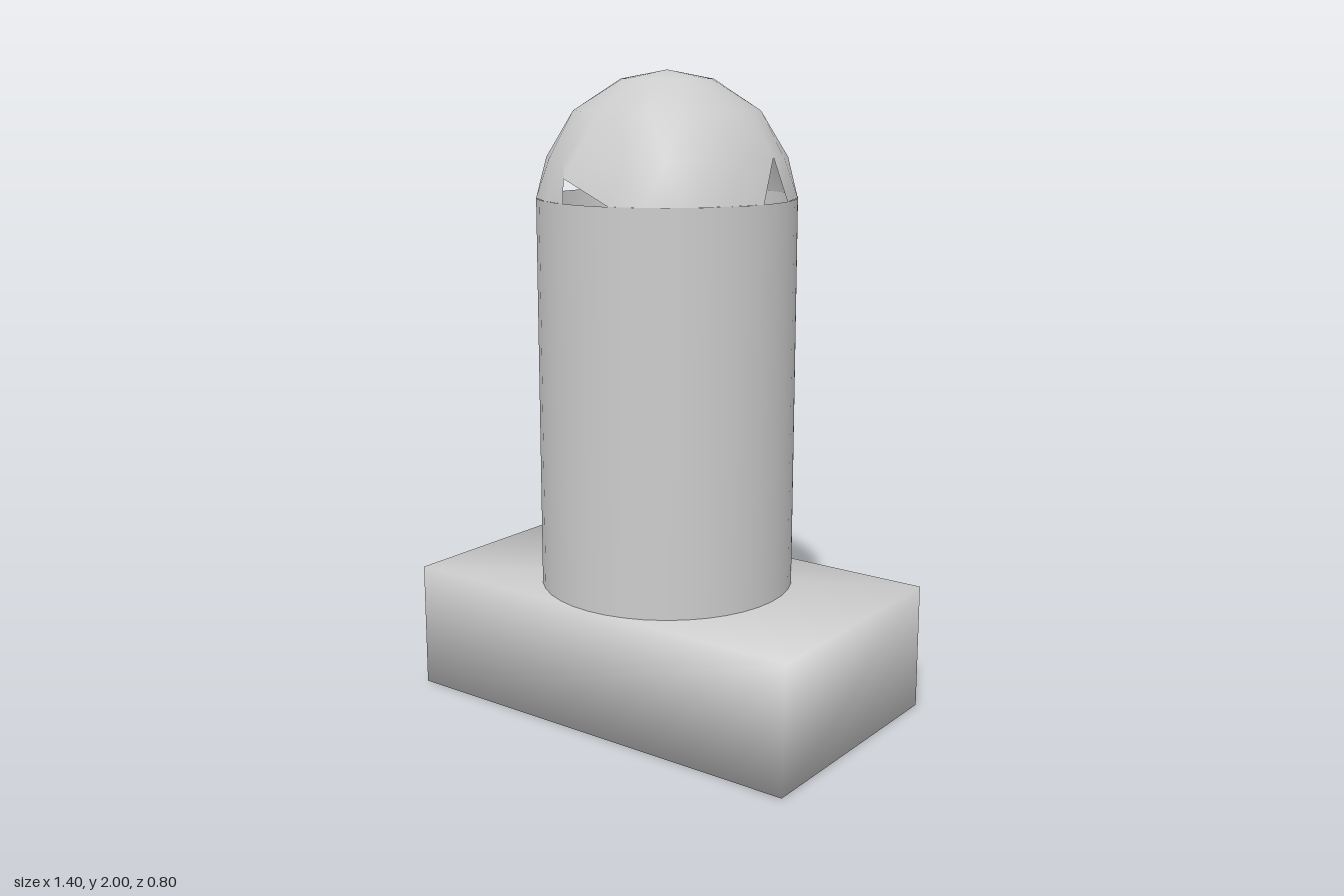
import * as THREE from 'three';
import { mergeVertices } from 'three/addons/utils/BufferGeometryUtils.js';

const SIDES = 20;
const RADIUS = 0.4;
const SHOULDER = 1.62;

// Dome of offset rings, with a triangular opening on each of its four sides
function domeGeometry() {
  const pos = [];
  const index = [];
  const step = (Math.PI * 2) / SIDES;
  const rings = [[RADIUS, SHOULDER], [0.368, 1.74], [0.285, 1.88], [0.14, 1.973]];
  // Apex of each opening, keyed by the side it sits on (angle 0 is +x, rising towards +z)
  const apexes = {
    0: [0.366, 1.75, -0.028],
    5: [-0.098, 1.69, 0.37],
    10: [-0.37, 1.74, 0.035],
    15: [0, 1.66, -0.385],
  };

  rings.forEach(([r, y], k) => {
    for (let j = 0; j < SIDES; j++) {
      let a = (j + (k % 2 ? 0 : -0.5)) * step;
      // Front and back openings are a little wider at the base
      if (k === 0 && j % 10 === 5) a -= 0.055;
      if (k === 0 && j % 10 === 6) a += 0.055;
      if (k === 1 && apexes[j]) pos.push(...apexes[j]);
      else pos.push(r * Math.cos(a), y, r * Math.sin(a));
    }
  });
  const top = pos.length / 3;
  pos.push(0, 2, 0);

  for (let k = 0; k < rings.length; k++) {
    for (let j = 0; j < SIDES; j++) {
      const n = (j + 1) % SIDES;
      const a = k * SIDES + j;
      const b = k * SIDES + n;
      const c = a + SIDES;
      const d = b + SIDES;
      if (k === rings.length - 1) index.push(a, top, b);
      else if (k % 2) index.push(a, c, d, a, d, b);
      else {
        if (k > 0 || !apexes[j]) index.push(a, c, b);
        index.push(b, c, d);
      }
    }
  }
  const geometry = new THREE.BufferGeometry();
  geometry.setAttribute('position', new THREE.Float32BufferAttribute(pos, 3));
  geometry.setIndex(index);
  geometry.computeVertexNormals();
  return geometry;
}

// Box with shared corners, shaded softly across its edges
function softBox(w, h, d) {
  const box = new THREE.BoxGeometry(w, h, d);
  box.deleteAttribute('normal');
  box.deleteAttribute('uv');
  const geometry = mergeVertices(box);
  geometry.computeVertexNormals();
  return geometry;
}

export function createModel() {
  const group = new THREE.Group();
  const material = new THREE.MeshStandardMaterial({ color: 0xcccccc, side: THREE.DoubleSide });
  const add = (name, geometry, y) => {
    const mesh = new THREE.Mesh(geometry, material);
    mesh.name = name;
    mesh.position.y = y;
    group.add(mesh);
  };

  add('base', softBox(1.4, 0.4, 0.8), 0.2);

  // Hollow column, open at both ends
  const height = SHOULDER - 0.4;
  add('column', new THREE.CylinderGeometry(RADIUS, RADIUS, height, 40, 1, true), 0.4 + height / 2);

  add('dome', domeGeometry(), 0);
  return group;
}
